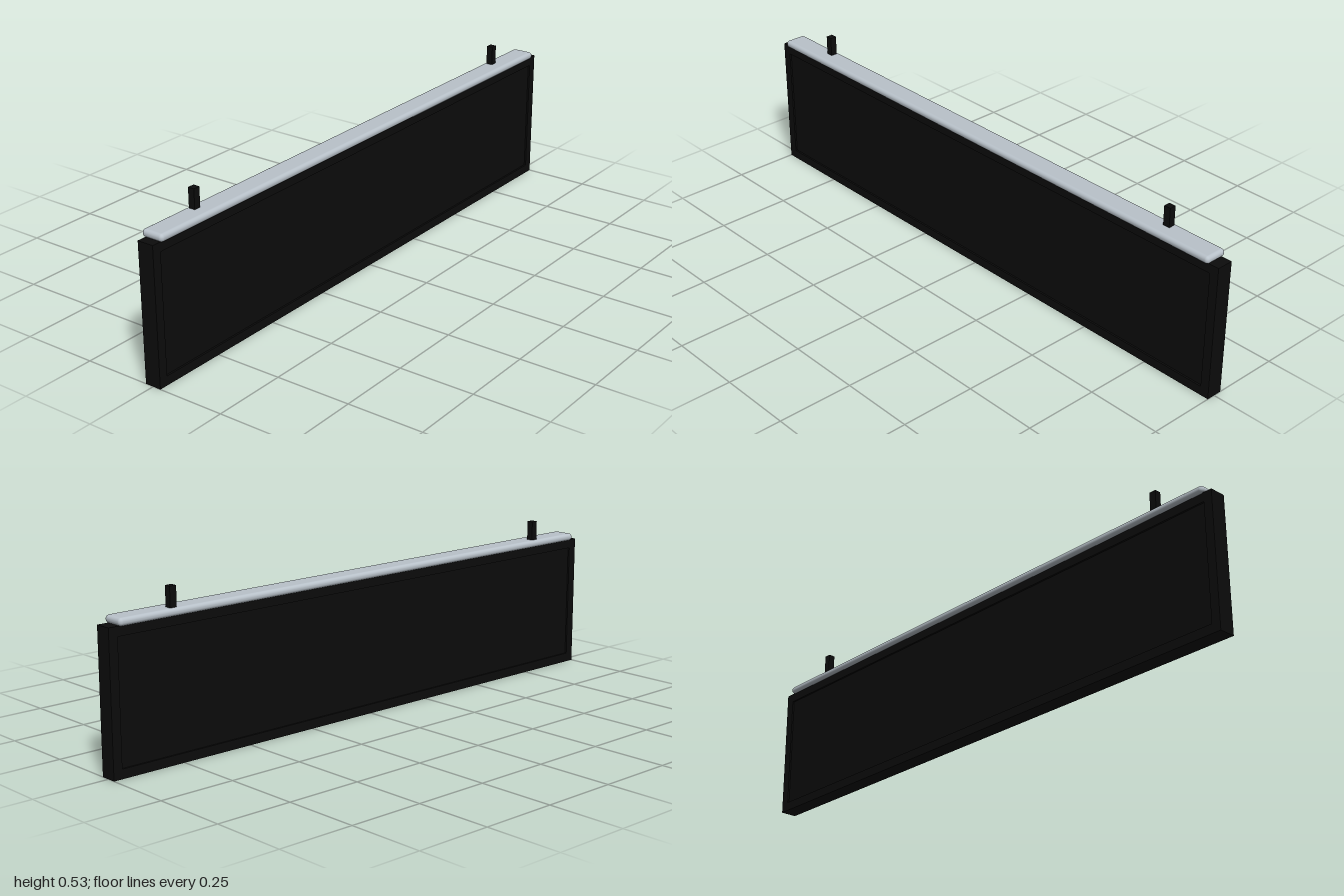
import * as THREE from 'three';
import { RoundedBoxGeometry } from 'three/addons/geometries/RoundedBoxGeometry.js';

export function createModel() {
  const group = new THREE.Group();
  const black = new THREE.MeshStandardMaterial({ name: 'black', color: 0x0c0c0c });
  const silver = new THREE.MeshStandardMaterial({ name: 'silver', color: 0xb9c2ca });

  const add = (name, geometry, material, x, y, z) => {
    const mesh = new THREE.Mesh(geometry, material);
    mesh.name = name;
    mesh.position.set(x, y, z);
    group.add(mesh);
  };

  const width = 2, height = 0.447, depth = 0.055, border = 0.03;

  // Rectangular frame with an opening
  const outline = new THREE.Shape([
    new THREE.Vector2(-width / 2, 0), new THREE.Vector2(width / 2, 0),
    new THREE.Vector2(width / 2, height), new THREE.Vector2(-width / 2, height),
  ]);
  const ix = width / 2 - border;
  outline.holes.push(new THREE.Path([
    new THREE.Vector2(-ix, border), new THREE.Vector2(-ix, height - border),
    new THREE.Vector2(ix, height - border), new THREE.Vector2(ix, border),
  ]));
  add('frame', new THREE.ExtrudeGeometry(outline, { depth, bevelEnabled: false }), black, 0, 0, -depth / 2);

  // Panel set slightly back on both faces
  add('panel', new THREE.BoxGeometry(ix * 2, height - border * 2, depth - 0.012), black, 0, height / 2, 0);

  // Rounded rail along the top
  add('topRail', new RoundedBoxGeometry(1.943, 0.025, 0.077, 4, 0.0118), silver, -0.003, 0.4575, 0);

  // Two hanging posts near the back
  for (const [name, x] of [['rightPost', -0.78], ['leftPost', 0.775]]) {
    add(name, new THREE.BoxGeometry(0.023, 0.084, 0.022), black, x, 0.492, -0.0155);
  }
  return group;
}
